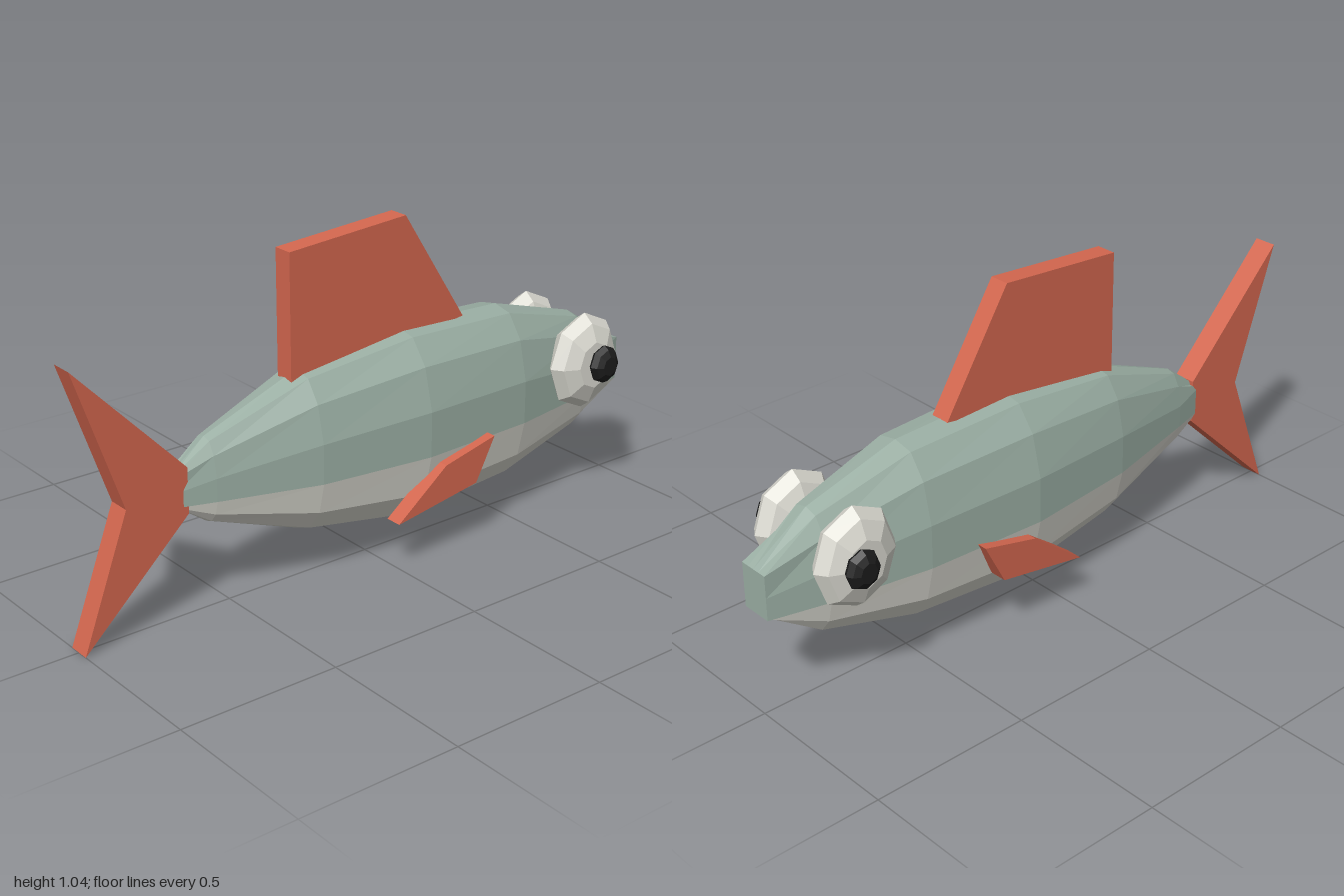
import * as THREE from 'three';

const flat = (name, color) => {
  const m = new THREE.MeshStandardMaterial({ color, flatShading: true });
  m.name = name;
  return m;
};

export function createModel() {
  const model = new THREE.Group();
  model.name = 'fish';
  const back = flat('grey green', 0x9aaea3);
  const pale = flat('pale grey', 0xdcdbd2);
  const orange = flat('fin orange', 0xd4674f);
  const black = flat('pupil black', 0x1c1c1c);

  const add = (name, geometry, material, x = 0, y = 0, z = 0) => {
    const mesh = new THREE.Mesh(geometry, material);
    mesh.name = name;
    mesh.position.set(x, y, z);
    model.add(mesh);
    return mesh;
  };

  // Body cross-sections: x, bottom, colour line, top, half width
  const sections = [
    [-0.69, 0.355, 0.355, 0.44, 0.03],
    [-0.57, 0.27, 0.35, 0.53, 0.06],
    [-0.25, 0.15, 0.335, 0.65, 0.128],
    [0.12, 0.085, 0.33, 0.695, 0.165],
    [0.51, 0.115, 0.33, 0.68, 0.147],
    [0.82, 0.2, 0.33, 0.59, 0.094],
    [1, 0.33, 0.33, 0.47, 0.05],
  ];
  // Half profile: width fraction, height fraction below or above the colour line
  const round = [[0, -1], [0.45, -0.88], [0.82, -0.53], [1, 0], [1, 0.39], [0.8, 0.75], [0.45, 0.96], [0, 1]];
  const square = [[0, -1], [0.45, -1], [0.82, -1], [1, 0], [1, 0.5], [1, 1], [0.45, 1], [0, 1]];
  const last = sections.length - 1;
  const rings = sections.map(([x, bottom, line, top, width], i) => {
    const half = (i === 0 || i === last ? square : round).map(([u, v]) =>
      [x, line + (v < 0 ? v * (line - bottom) : v * (top - line)), u * width]);
    const mirrored = half.slice(1, -1).reverse().map(([a, b, c]) => [a, b, -c]);
    return [...half, ...mirrored];
  });
  const count = rings[0].length;
  const upper = [];
  const lower = [];
  for (let i = 0; i < last; i++) {
    for (let j = 0; j < count; j++) {
      const k = (j + 1) % count;
      const [a, b, c, d] = [rings[i][j], rings[i + 1][j], rings[i + 1][k], rings[i][k]];
      (j < 3 || j >= count - 3 ? lower : upper).push(a, b, c, a, c, d);
    }
  }
  // Flat nose and tail ends
  for (let j = 1; j < count - 1; j++) {
    const [t, n] = [rings[0], rings[last]];
    upper.push(t[0], t[j], t[j + 1], n[0], n[j + 1], n[j]);
  }
  const faces = (points) => {
    const g = new THREE.BufferGeometry();
    g.setAttribute('position', new THREE.Float32BufferAttribute(points.flat(), 3));
    g.computeVertexNormals();
    return g;
  };
  add('upperBody', faces(upper), back);
  add('belly', faces(lower), pale);

  // Fins: flat outlines with thickness
  const fin = (name, outline, depth, z) => {
    const shape = new THREE.Shape(outline.map(([x, y]) => new THREE.Vector2(x, y)));
    const g = new THREE.ExtrudeGeometry(shape, { depth, bevelEnabled: false });
    add(name, g.translate(0, 0, -depth / 2), orange, 0, 0, z);
  };
  fin('tailFin', [[-1, 0], [-0.65, 0.33], [-0.65, 0.47], [-1, 0.835], [-0.85, 0.4]], 0.072, 0);
  fin('dorsalFin', [[-0.29, 0.6], [0.35, 0.685], [0.125, 1.04], [-0.29, 1.012]], 0.064, 0);
  const sideFin = [[-0.02, 0.16], [0.28, 0.21], [0.35, 0.345], [0.16, 0.3]];

  // Faceted discs for the eyes, facing sideways
  const disc = (r, depth, sides, inner) => {
    const p = [[0, -1], [inner, -1], [0.83, -0.6], [1, 0], [0.83, 0.6], [inner, 1], [0, 1]];
    return new THREE.LatheGeometry(p.map(([u, v]) => new THREE.Vector2(u * r, v * depth)), sides)
      .rotateX(Math.PI / 2);
  };
  for (const [side, s] of [['left', 1], ['right', -1]]) {
    fin(side + 'SideFin', sideFin, 0.054, s * 0.16);
    add(side + 'Eye', disc(0.157, 0.058, 8, 0.48).scale(0.87, 1, 1), pale, 0.765, 0.472, s * 0.132);
    add(side + 'Pupil', disc(0.062, 0.03, 8, 0.5).scale(0.9, 1, 1), black, 0.79, 0.473, s * 0.2);
  }
  return model;
}
